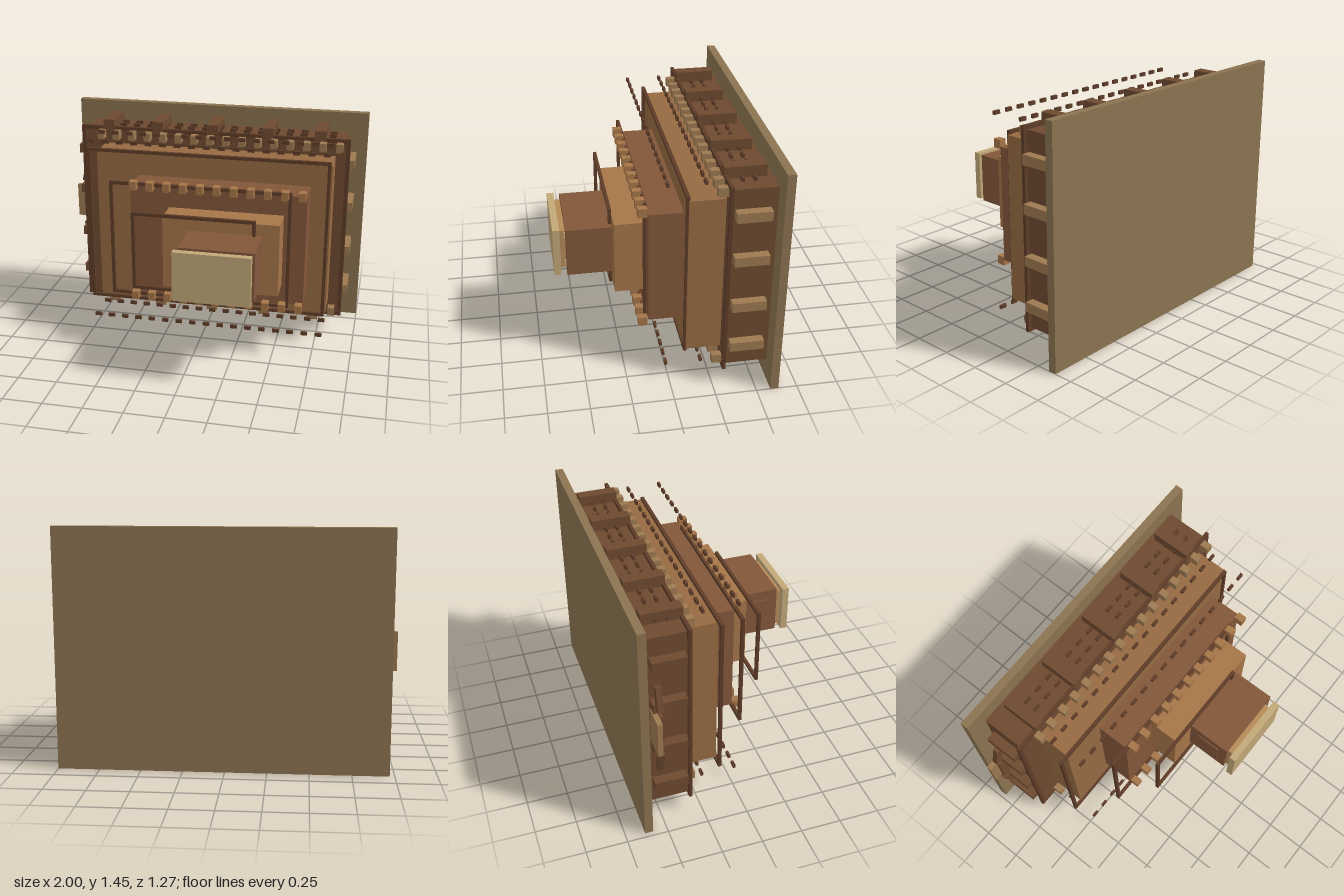
import * as THREE from 'three';

const mat = (color) => new THREE.MeshStandardMaterial({ color });
const M = {
  backing: mat(0x8b7350), dark: mat(0x6e4a30), trim: mat(0x5e3c28), oak: mat(0x966a42),
  brown: mat(0x83573a), amber: mat(0xa67548), tan: mat(0x9c7850), cream: mat(0xc2a878), honey: mat(0xb58a58),
};

// Box given by its low and high corners
function box(parent, name, [x0, x1], [y0, y1], [z0, z1], material) {
  const mesh = new THREE.Mesh(new THREE.BoxGeometry(x1 - x0, y1 - y0, z1 - z0), material);
  mesh.position.set((x0 + x1) / 2, (y0 + y1) / 2, (z0 + z1) / 2);
  mesh.name = name;
  parent.add(mesh);
  return mesh;
}

// Rectangular trim frame with an open middle
function frame(parent, name, [x0, x1], [y0, y1], [z0, z1], t) {
  const g = new THREE.Group();
  g.name = name;
  box(g, 'topRail', [x0, x1], [y1 - t, y1], [z0, z1], M.trim);
  box(g, 'bottomRail', [x0, x1], [y0, y0 + t], [z0, z1], M.trim);
  box(g, 'rightStile', [x0, x0 + t], [y0 + t, y1 - t], [z0, z1], M.trim);
  box(g, 'leftStile', [x1 - t, x1], [y0 + t, y1 - t], [z0, z1], M.trim);
  parent.add(g);
}

// Row of equal blocks from centre xa to centre xb
function row(parent, name, count, xa, xb, width, y, z, material) {
  const g = new THREE.Group();
  g.name = name;
  for (let i = 0; i < count; i++) {
    const x = xa + ((xb - xa) * i) / (count - 1);
    box(g, 'block', [x - width / 2, x + width / 2], y, z, material);
  }
  parent.add(g);
}

export function createModel() {
  const model = new THREE.Group();
  model.name = 'steppedPanel';

  // Backing board and the stack of stepped tiers
  box(model, 'backBoard', [-0.97, 1], [0, 1.45], [-0.635, -0.585], M.backing);
  box(model, 'tier1', [-0.85, 0.88], [0.135, 1.32], [-0.585, -0.31], M.dark);
  box(model, 'tier2', [-0.71, 0.815], [0.222, 1.232], [-0.31, -0.1], M.oak);
  box(model, 'tier3', [-0.43, 0.685], [0.365, 1.09], [-0.1, 0.105], M.brown);
  box(model, 'tier4', [-0.18, 0.545], [0.495, 0.96], [0.105, 0.285], M.amber);
  box(model, 'tier5', [-0.02, 0.44], [0.575, 0.885], [0.285, 0.56], M.brown);
  box(model, 'sidePanel', [-0.027, -0.02], [0.64, 0.82], [0.35, 0.5], M.brown);
  box(model, 'frontNeck', [0, 0.385], [0.6, 0.855], [0.56, 0.597], M.honey);
  for (const y of [0.61, 0.805]) {
    box(model, 'neckTab', [0.37, 0.395], [y, y + 0.04], [0.556, 0.57], M.cream);
  }
  box(model, 'frontPlate', [-0.038, 0.43], [0.575, 0.885], [0.595, 0.637], M.cream);

  // Trim frames round the tiers
  frame(model, 'frame1', [-0.875, 0.905], [0.11, 1.345], [-0.327, -0.306], 0.025);
  frame(model, 'frame2', [-0.775, 0.805], [0.2, 1.255], [-0.108, -0.087], 0.02);
  frame(model, 'frame3', [-0.565, 0.592], [0.34, 1.112], [0.1, 0.121], 0.02);
  frame(model, 'frame4', [-0.375, 0.4], [0.47, 0.982], [0.282, 0.302], 0.02);

  // Dentil blocks above and below
  for (const y of [[1.27, 1.325], [0.13, 0.185]]) {
    row(model, 'outerDentils', 16, -0.73, 0.84, 0.043, y, [-0.31, -0.25], M.tan);
  }
  for (const y of [[1.075, 1.13], [0.325, 0.38]]) {
    row(model, 'innerDentils', 11, -0.4, 0.66, 0.044, y, [0.11, 0.165], M.amber);
  }

  // Fine rows of small floating dashes
  for (const z of [0.018, -0.195, -0.4, -0.47]) {
    for (const y of [[1.325, 1.348], [0.107, 0.13]]) {
      row(model, 'dashRow', 17, -0.705, 0.785, 0.043, y, [z - 0.008, z + 0.008], M.trim);
    }
  }

  // Large brackets on the top and bottom
  for (const x of [-0.688, -0.352, 0.014, 0.377, 0.712]) {
    const span = [x - 0.036, x + 0.036];
    box(model, 'topBracket', span, [1.3, 1.39], [-0.55, -0.305], M.dark);
    box(model, 'bottomBracket', span, [0.065, 0.155], [-0.55, -0.305], M.tan);
  }

  // Side brackets
  for (const y of [0.29, 0.572, 0.883, 1.168]) {
    const span = [y - 0.03, y + 0.03];
    box(model, 'leftBracket', [0.86, 0.935], span, [-0.545, -0.342], M.tan);
    box(model, 'rightBracket', [-0.91, -0.83], span, [-0.545, -0.342], M.dark);
  }

  // Latch on the right side with two slanted arms
  box(model, 'latchPlate', [-1, -0.85], [0.615, 0.845], [-0.548, -0.518], M.tan);
  box(model, 'latchBase', [-0.945, -0.85], [0.615, 0.845], [-0.53, -0.495], M.dark);
  for (const s of [-1, 1]) {
    const y = 0.732 + s * 0.225;
    const arm = box(model, 'latchArm', [-0.938, -0.893], [y - 0.075, y + 0.075], [-0.53, -0.495], M.dark);
    arm.rotation.z = -s * 0.25;
  }
  return model;
}
